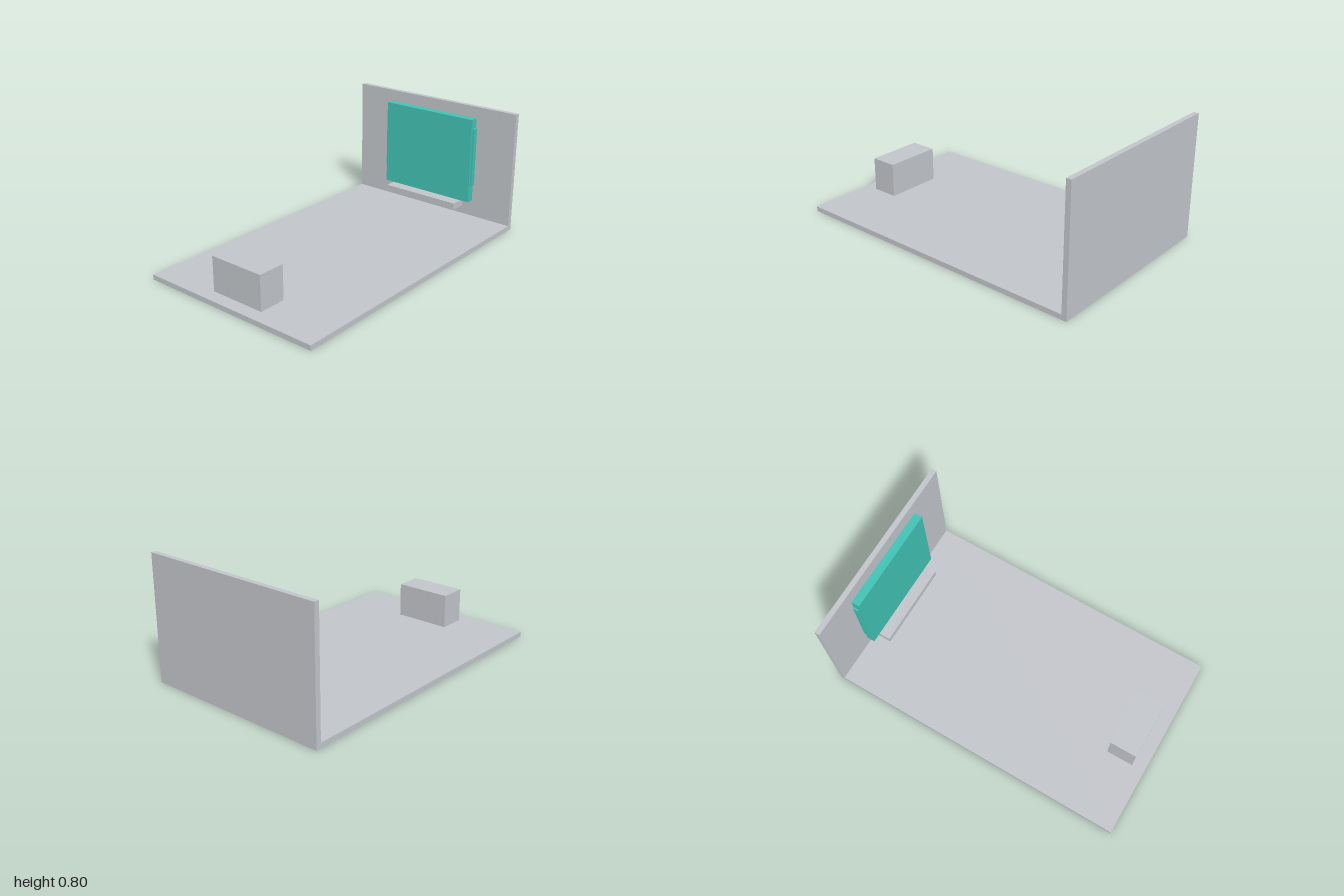
import * as THREE from 'three';

export function createModel() {
  const model = new THREE.Group();
  model.name = 'displayStage';

  const grey = new THREE.MeshStandardMaterial({ color: 0xc1c4c9 });
  grey.name = 'light grey';
  const teal = new THREE.MeshStandardMaterial({ color: 0x41c1b4 });
  teal.name = 'teal';

  // Box given by its minimum and maximum corners
  function box(name, material, [x0, y0, z0], [x1, y1, z1]) {
    const mesh = new THREE.Mesh(new THREE.BoxGeometry(x1 - x0, y1 - y0, z1 - z0), material);
    mesh.position.set((x0 + x1) / 2, (y0 + y1) / 2, (z0 + z1) / 2);
    mesh.name = name;
    model.add(mesh);
  }

  // Room shell
  box('floor', grey, [-0.622, 0, -1], [0.622, 0.033, 1]);
  box('backWall', grey, [-0.622, 0.033, -1], [0.622, 0.8, -0.967]);

  // Low block near the front edge
  box('frontBlock', grey, [-0.187, 0.033, 0.738], [0.187, 0.256, 0.914]);

  // Screen with its side strips, rear mount and the shelf below
  box('screen', teal, [-0.342, 0.152, -0.953], [0.342, 0.727, -0.9]);
  for (const side of [-1, 1]) {
    const xs = [side * 0.342, side * 0.355].sort((a, b) => a - b);
    box(side > 0 ? 'leftStrip' : 'rightStrip', teal, [xs[0], 0.265, -0.946], [xs[1], 0.663, -0.914]);
  }
  box('rearMount', grey, [-0.27, 0.285, -0.958], [0.27, 0.645, -0.953]);
  box('shelf', grey, [-0.279, 0.103, -0.932], [0.279, 0.15, -0.826]);

  return model;
}
